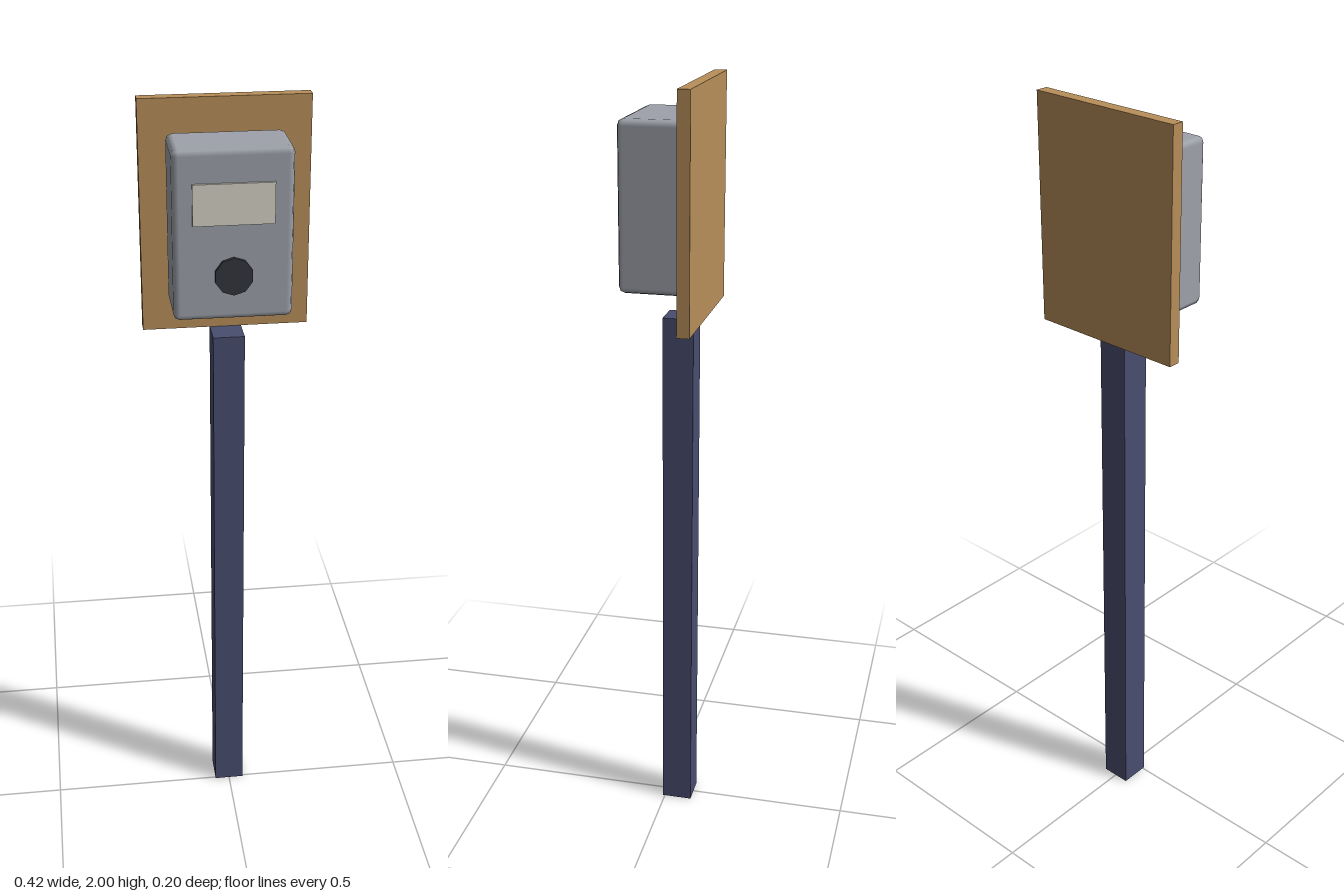
import * as THREE from 'three';
import { RoundedBoxGeometry } from 'three/addons/geometries/RoundedBoxGeometry.js';

export function createModel() {
  const model = new THREE.Group();

  function add(name, geometry, color, x, y, z, flatShading = false) {
    const mesh = new THREE.Mesh(geometry, new THREE.MeshStandardMaterial({ color, flatShading }));
    mesh.name = name;
    mesh.position.set(x, y, z);
    model.add(mesh);
    return mesh;
  }

  // Square post, standing just in front of the board's plane
  add('post', new THREE.BoxGeometry(0.08, 1.417, 0.08), 0x4a4e70, 0, 0.7085, -0.035);

  // Wooden backing board
  add('backBoard', new THREE.BoxGeometry(0.42, 0.583, 0.032), 0xb98f5a, 0, 1.7085, -0.086);

  // Meter housing with softened chamfered edges
  add('housing', new RoundedBoxGeometry(0.29, 0.42, 0.163, 1, 0.016), 0x9ea2aa, 0, 1.71, 0.0115);

  // Display panel
  add('display', new THREE.BoxGeometry(0.196, 0.1, 0.016), 0xd8d4c8, 0, 1.79, 0.092);

  // Round dial
  const dial = add('dial', new THREE.CylinderGeometry(0.047, 0.047, 0.02, 10), 0x33363d, 0, 1.613, 0.092, true);
  dial.rotation.x = Math.PI / 2;

  return model;
}
